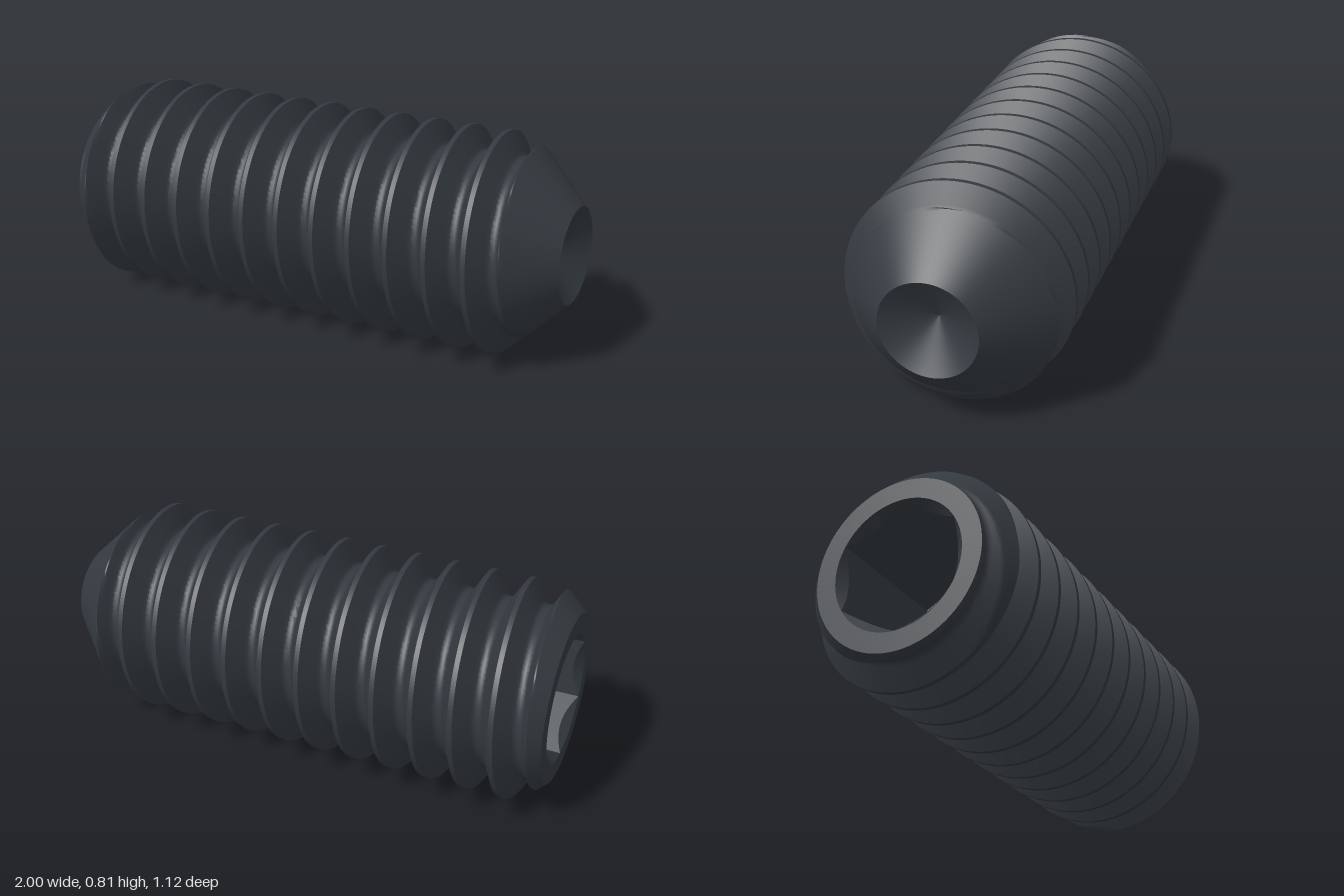
import * as THREE from 'three';
import { toCreasedNormals } from 'three/addons/utils/BufferGeometryUtils.js';

const HALF = 0.97;        // half of the screw length
const R = 0.405;          // thread crest radius
const ROOT = 0.317;       // thread root radius
const PITCH = 0.1455;
const CUP = 0.1765;       // rim radius of the cup point
const FLAT = 0.211;       // half of the hex size across flats
const CORNER = FLAT / Math.cos(Math.PI / 6);

// Surface swept around the x axis; point(i, phi) returns [position along axis, radius].
function sweep(rows, cols, point, crease = 0.6) {
  const at = (i, j) => {
    const phi = (j / cols) * Math.PI * 2;
    const [s, r] = point(i, phi);
    return new THREE.Vector3(s, r * Math.cos(phi), r * Math.sin(phi));
  };
  const out = [];
  const tri = new THREE.Triangle();
  const add = (a, b, c) => {
    if (tri.set(a, b, c).getArea() > 1e-8) for (const v of [a, b, c]) out.push(v.x, v.y, v.z);
  };
  for (let i = 0; i < rows - 1; i++) {
    for (let j = 0; j < cols; j++) {
      const a = at(i, j), b = at(i, j + 1), c = at(i + 1, j + 1), d = at(i + 1, j);
      add(a, b, c);
      add(a, c, d);
    }
  }
  const geo = new THREE.BufferGeometry();
  geo.setAttribute('position', new THREE.Float32BufferAttribute(out, 3));
  return toCreasedNormals(geo, crease);
}

// One pitch of the thread profile: flat crest, 60 degree flanks, rounded root.
function threadProfile() {
  const half = [];
  for (let i = 0; i <= 8; i++) {
    half.push([0.009 + (0.0455 * i) / 8, R - (0.079 * i) / 8]);
  }
  half.push([0.06, 0.32]);
  const mirrored = half.map(([x, r]) => [-x, r]).reverse();
  return [[-PITCH / 2, ROOT], ...mirrored, ...half];
}

export function createModel() {
  const steel = new THREE.MeshStandardMaterial({ color: 0x343a40 });
  steel.name = 'dark steel';
  const model = new THREE.Group();
  model.name = 'setScrew';
  const part = (name, geo) => {
    const mesh = new THREE.Mesh(geo, steel);
    mesh.name = name;
    model.add(mesh);
  };

  // Right-handed helical thread, cut by the end chamfer and the point cone
  const profile = threadProfile();
  const helix = [];
  for (let k = -2; k <= 12; k++) {
    for (const [x, r] of profile) helix.push([-0.777 + k * PITCH + x, r]);
  }
  part('threadedBody', sweep(helix.length, 96, (i, phi) => {
    const s = THREE.MathUtils.clamp(helix[i][0] + (PITCH * phi) / (Math.PI * 2), -HALF, HALF);
    const chamfer = ROOT + (s + HALF) * 0.9;
    const cone = CUP + (HALF - s);
    return [s, Math.min(helix[i][1], chamfer, cone)];
  }));

  // Conical dimple in the point
  const cup = [[HALF, CUP], [HALF - 0.107, 0]];
  part('cupPoint', sweep(2, 96, (i) => cup[i]));

  // Flat ring around the socket
  const ring = [[-HALF, CORNER], [-HALF, ROOT]];
  part('socketFace', sweep(2, 96, (i) => ring[i]));

  // Hex socket with a floor, six walls and a conical countersink
  part('hexSocket', sweep(4, 96, (i, phi) => {
    const sector = Math.PI / 3;
    const hex = FLAT / Math.cos((phi % sector) - sector / 2);
    return [
      [-0.45, 0],
      [-0.45, hex],
      [-HALF + (CORNER - hex), hex],
      [-HALF, CORNER],
    ][i];
  }, 0.4));

  model.rotation.y = -0.2125;
  model.position.set(0.014, R, 0.009);
  const root = new THREE.Group();
  root.name = 'screw';
  root.add(model);
  return root;
}
